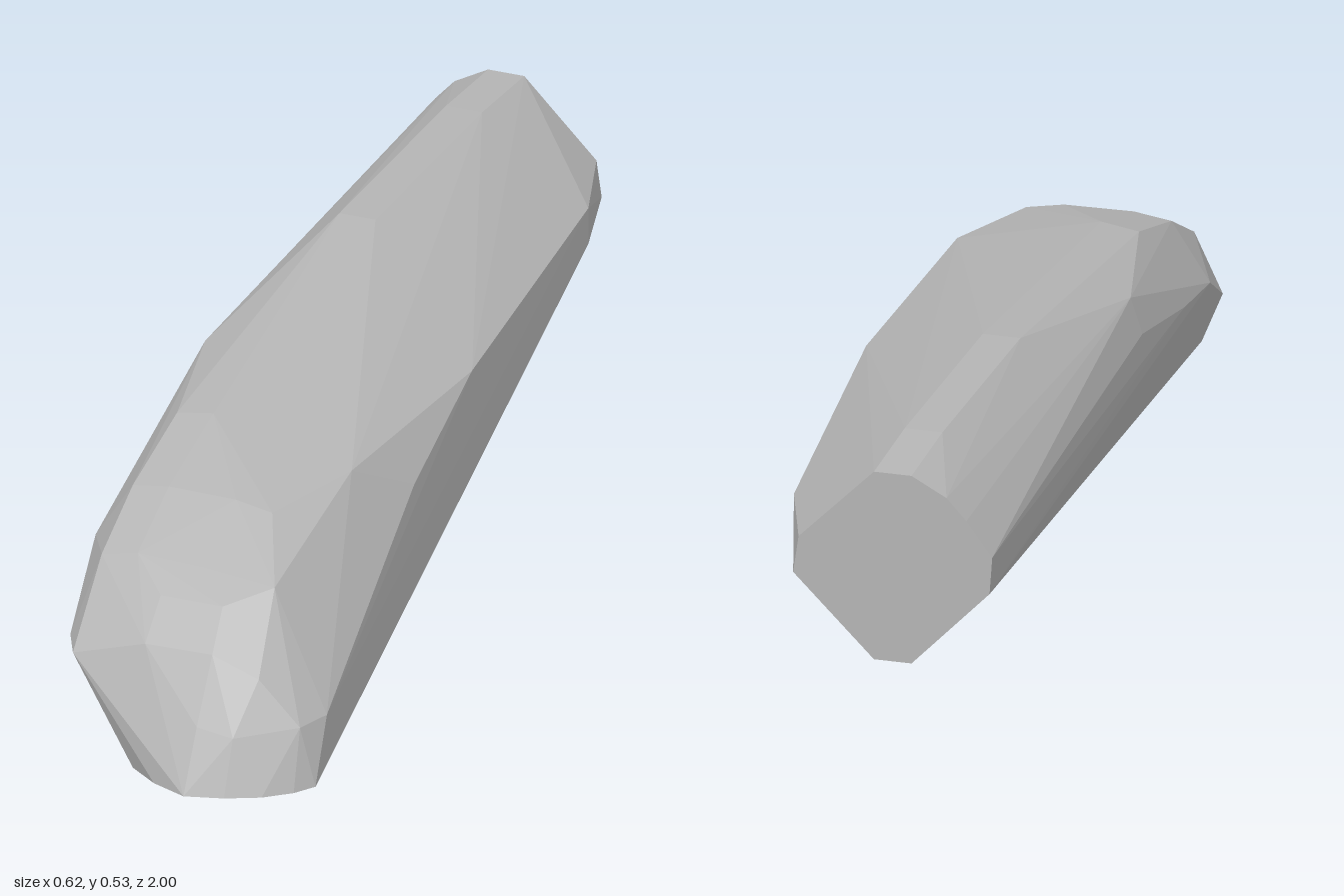
import * as THREE from 'three';
import { ConvexGeometry } from 'three/addons/geometries/ConvexGeometry.js';

// Each station holds z followed by its [x, y] corner points.
const rearStations = [
  // flat cut end
  [-1, [-0.16, 0.52], [-0.09, 0.52], [0.05, 0.38], [0.06, 0.31], [-0.09, 0.16], [-0.16, 0.16],
    [-0.305, 0.31], [-0.31, 0.38], [-0.262, 0.445], [-0.225, 0.485]],
  // shoulder just ahead of the cut
  [-0.81, [-0.16, 0.53], [-0.09, 0.53], [0.116, 0.38], [0.116, 0.31]],
  [-0.33, [-0.16, 0.525], [-0.09, 0.525]],
  // right-hand ridge and left upper edge
  [-0.1, [0.196, 0.38]],
  [0.1, [-0.257, 0.378], [-0.235, 0.445]],
  [0.25, [0.235, 0.315]],
];

const frontStations = [
  [0.4, [-0.16, 0.447], [-0.09, 0.458], [0.178, 0.395], [-0.245, 0.312]],
  [0.6, [-0.16, 0.39], [-0.09, 0.4], [0.04, 0.398], [0.11, 0.385], [-0.232, 0.28], [0.275, 0.18]],
  [0.74, [-0.16, 0.315], [-0.09, 0.33], [0.03, 0.325], [0.175, 0.31], [0.24, 0.21]],
  [0.8, [-0.195, 0.177], [-0.16, 0.245], [-0.02, 0.285], [0.1, 0.285], [0.302, 0.11]],
  [0.87, [-0.16, 0.177], [-0.02, 0.22], [0.11, 0.222], [0.2, 0.19], [0.28, 0.11]],
  [0.94, [0.11, 0.11], [0.18, 0.1]],
];

// Rounded outline of the sole, resting on the ground: [x, z]
const sole = [
  [0.1, 0.68], [-0.09, 0.7], [-0.09, 0.78], [-0.02, 0.925], [0.04, 0.97],
  [0.11, 1], [0.18, 0.98], [0.24, 0.95], [0.285, 0.91], [0.31, 0.87],
];

export function createModel() {
  const group = new THREE.Group();
  group.name = 'facetedFinger';

  const points = sole.map(([x, z]) => new THREE.Vector3(x, 0, z));
  for (const [z, ...corners] of [...rearStations, ...frontStations]) {
    for (const [x, y] of corners) points.push(new THREE.Vector3(x, y, z));
  }
  // lower left edge between the sole and the cut end
  points.push(new THREE.Vector3(-0.18, 0.115, 0.72));

  const grey = new THREE.MeshStandardMaterial({ color: 0xb4b4b4 });
  grey.name = 'plainGrey';
  grey.flatShading = true;

  // one convex faceted body
  const body = new THREE.Mesh(new ConvexGeometry(points), grey);
  body.name = 'body';
  group.add(body);
  return group;
}
